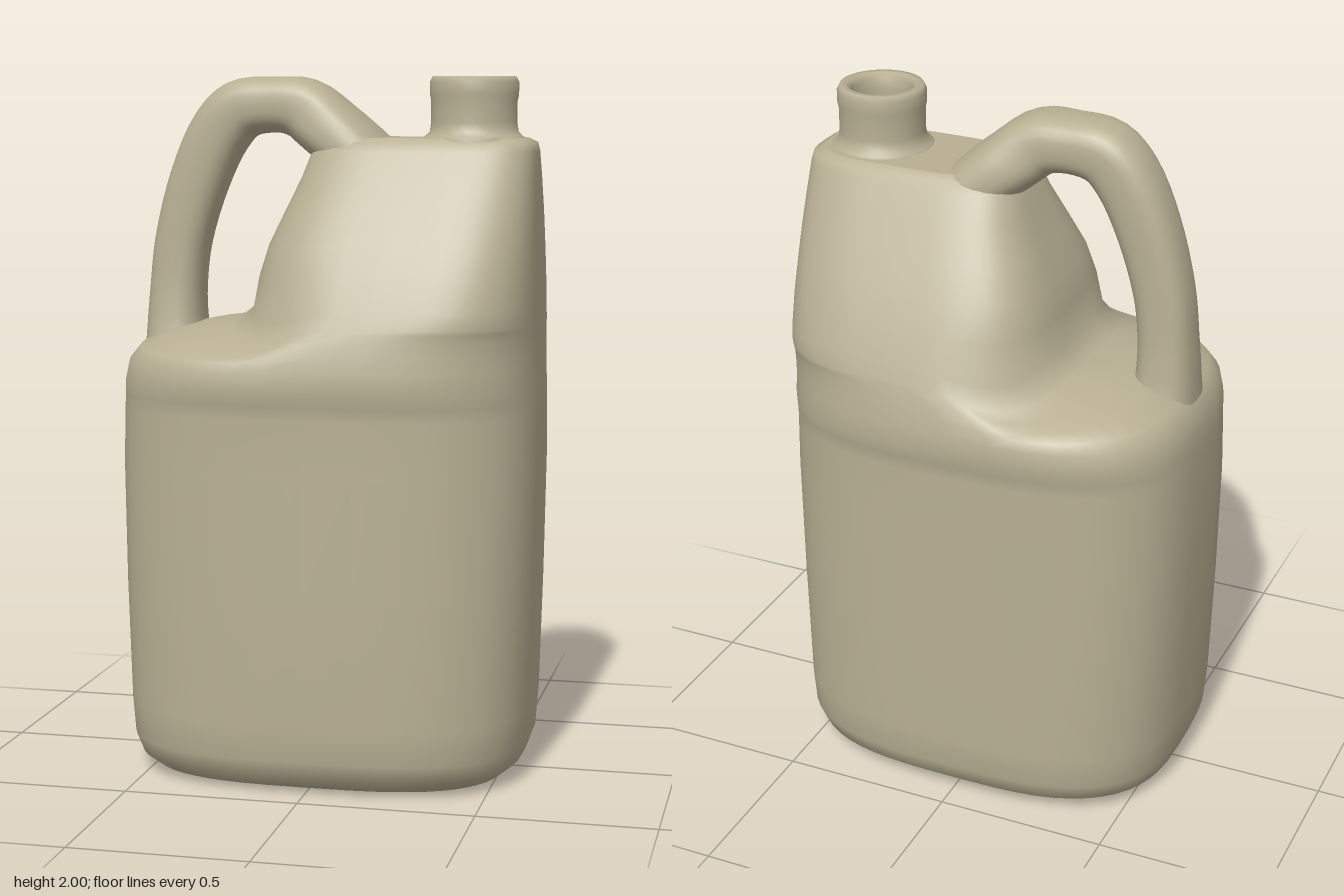
import * as THREE from 'three';

const SEGMENTS = 56;

// Skins closed rings of points (arrays of Vector3) and closes both ends.
function loft(rings) {
  const n = rings[0].length, pos = [], index = [];
  rings.forEach(r => r.forEach(p => pos.push(p.x, p.y, p.z)));
  for (let i = 0; i < rings.length - 1; i++) {
    for (let j = 0; j < n; j++) {
      const a = i * n + j, b = i * n + (j + 1) % n;
      index.push(a, a + n, b, b, a + n, b + n);
    }
  }
  [rings[0], rings[rings.length - 1]].forEach((ring, end) => {
    const c = ring.reduce((s, p) => s.add(p), new THREE.Vector3()).divideScalar(n);
    const start = pos.length / 3;
    ring.forEach(p => pos.push(p.x, p.y, p.z));
    pos.push(c.x, c.y, c.z);
    for (let j = 0; j < n; j++) {
      const k = (j + 1) % n;
      if (end) index.push(start + n, start + k, start + j);
      else index.push(start + n, start + j, start + k);
    }
  });
  const g = new THREE.BufferGeometry();
  g.setAttribute('position', new THREE.Float32BufferAttribute(pos, 3));
  g.setIndex(index);
  g.computeVertexNormals();
  return g;
}

// Unit rounded-rectangle outline (superellipse)
function outline(power, count) {
  const pts = [];
  const f = v => Math.sign(v) * Math.pow(Math.abs(v), 2 / power);
  for (let j = 0; j < count; j++) {
    const t = j / count * Math.PI * 2;
    pts.push([f(Math.cos(t)), f(Math.sin(t))]);
  }
  return pts;
}

// Body: y, left x, right x, half depth, sag of the shelf towards its edges
function bodyGeometry() {
  const sections = [
    [0.0, -0.47, 0.47, 0.34, 0],
    [0.012, -0.52, 0.52, 0.39, 0],
    [0.045, -0.56, 0.56, 0.43, 0],
    [0.1, -0.58, 0.58, 0.452, 0],
    [0.2, -0.588, 0.588, 0.457, 0],
    [0.55, -0.6, 0.598, 0.452, 0],
    [0.9, -0.606, 0.604, 0.447, 0],
    [1.06, -0.602, 0.602, 0.444, 0],
    [1.1, -0.6, 0.602, 0.448, 0],
    [1.14, -0.597, 0.6, 0.46, 0],
    [1.2, -0.585, 0.598, 0.453, 0.01],
    [1.245, -0.55, 0.597, 0.444, 0.03],
    [1.28, -0.47, 0.596, 0.435, 0.055],
    [1.303, -0.36, 0.596, 0.428, 0.07],
    [1.315, -0.27, 0.595, 0.424, 0.075],
    [1.36, -0.212, 0.594, 0.408, 0.07],
    [1.45, -0.195, 0.592, 0.37, 0.03],
    [1.53, -0.17, 0.59, 0.33, 0],
    [1.62, -0.13, 0.588, 0.282, 0],
    [1.72, -0.085, 0.584, 0.225, 0],
    [1.79, -0.06, 0.58, 0.186, 0],
    [1.815, -0.04, 0.575, 0.168, 0],
    [1.828, -0.01, 0.55, 0.145, 0],
  ];
  return loft(sections.map(([y, x0, x1, d, sag]) => {
    const power = THREE.MathUtils.mapLinear(THREE.MathUtils.clamp(y, 1.2, 1.5), 1.2, 1.5, 3, 3.5);
    return outline(power, SEGMENTS).map(([u, v]) => {
      const x = (x0 + x1) / 2 + u * (x1 - x0) / 2;
      const w = 1 - THREE.MathUtils.smoothstep(x, -0.2, 0.1);
      return new THREE.Vector3(x, y - sag * w * v * v, v * d);
    });
  }));
}

// Handle: centre x, centre y, half thickness, half depth
function handleGeometry() {
  const stations = [
    [-0.475, 1.18, 0.1, 0.13],
    [-0.482, 1.28, 0.085, 0.105],
    [-0.478, 1.4, 0.079, 0.092],
    [-0.462, 1.53, 0.08, 0.088],
    [-0.41, 1.71, 0.085, 0.088],
    [-0.345, 1.845, 0.088, 0.09],
    [-0.285, 1.905, 0.087, 0.092],
    [-0.19, 1.92, 0.08, 0.096],
    [-0.1, 1.91, 0.088, 0.105],
    [-0.01, 1.845, 0.09, 0.145],
    [0.09, 1.765, 0.085, 0.17],
    [0.16, 1.71, 0.07, 0.16],
  ];
  const path = new THREE.CatmullRomCurve3(stations.map(s => new THREE.Vector3(s[0], s[1], 0)));
  const size = new THREE.CatmullRomCurve3(stations.map(s => new THREE.Vector3(s[2], s[3], 0)));
  const rings = [], steps = 44;
  for (let i = 0; i <= steps; i++) {
    const c = path.getPoint(i / steps), t = path.getTangent(i / steps), s = size.getPoint(i / steps);
    rings.push(outline(2.6, 28).map(([u, v]) => new THREE.Vector3(
      c.x + t.y * u * s.x, Math.min(2, c.y - t.x * u * s.x), v * s.y)));
  }
  return loft(rings);
}

// Neck: collar, spout wall, rolled lip and recessed opening
function neckGeometry() {
  const profile = [
    [0.15, 1.79], [0.15, 1.822], [0.14, 1.832], [0.126, 1.845], [0.122, 1.87], [0.122, 1.93],
    [0.126, 1.95], [0.126, 1.985], [0.118, 2.0], [0.098, 2.0], [0.086, 1.985],
    [0.083, 1.95], [0.083, 1.865], [0.08, 1.86], [0, 1.86],
  ].map(([r, y]) => new THREE.Vector2(r, y));
  return new THREE.LatheGeometry(profile, 28);
}

export function createModel() {
  const plastic = new THREE.MeshStandardMaterial({ color: 0xb8af93 });
  plastic.name = 'tan plastic';

  const model = new THREE.Group();
  model.name = 'jug';
  const add = (name, geometry) => {
    const mesh = new THREE.Mesh(geometry, plastic);
    mesh.name = name;
    model.add(mesh);
    return mesh;
  };

  add('body', bodyGeometry());
  add('handle', handleGeometry());
  add('neck', neckGeometry()).position.set(0.4, 0, 0.015);
  return model;
}
